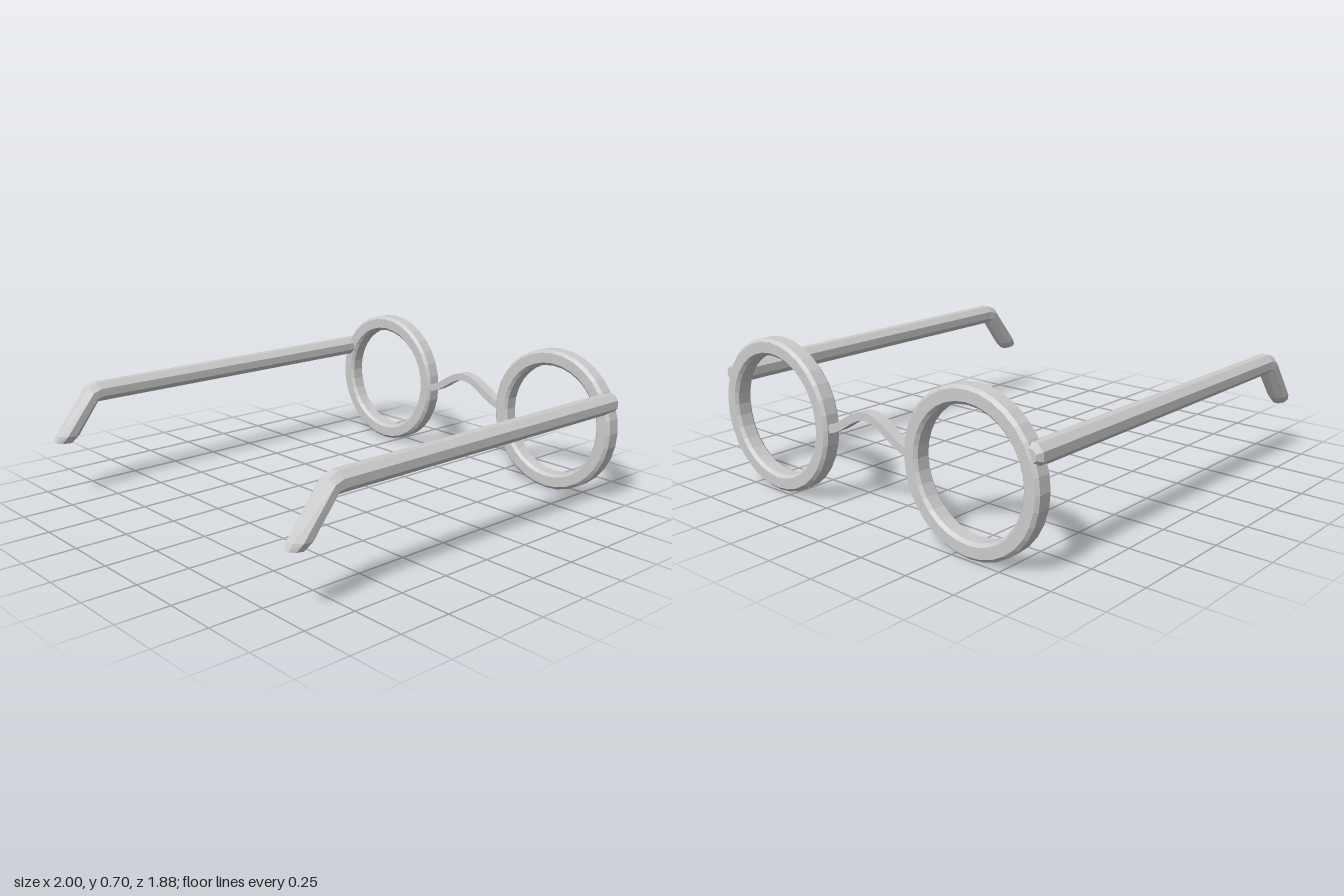
import * as THREE from 'three';

const material = new THREE.MeshStandardMaterial({ color: 0xcccccc, flatShading: true });

function add(group, name, geometry, z = 0) {
  const mesh = new THREE.Mesh(geometry, material);
  mesh.name = name;
  mesh.position.z = z;
  group.add(mesh);
}

// Round rim with bevelled edges, its axis along x
function rimGeometry() {
  const R = 0.352, r = 0.275, h = 0.044, b = 0.014;
  const profile = [
    [r, -h + b], [r + b, -h], [R - b, -h], [R, -h + b],
    [R, h - b], [R - b, h], [r + b, h], [r, h - b], [r, -h + b],
  ].map(([x, y]) => new THREE.Vector2(x, y));
  return new THREE.LatheGeometry(profile, 32).rotateZ(-Math.PI / 2).translate(0.955, 0.352, 0);
}

// Curved flat strip between the rims
function bridgeGeometry() {
  const n = 20, end = 0.26, half = 0.018;
  const upper = [], lower = [];
  for (let i = 0; i <= n; i++) {
    const t = -end + (2 * end * i) / n;
    const y = 0.357 + 0.052 * (1 + Math.cos((Math.PI * t) / end));
    const slope = -0.052 * (Math.PI / end) * Math.sin((Math.PI * t) / end);
    const k = half / Math.hypot(1, slope);
    upper.push(new THREE.Vector2(t - slope * k, y + k));
    lower.push(new THREE.Vector2(t + slope * k, y - k));
  }
  const shape = new THREE.Shape([...lower, ...upper.reverse()]);
  return new THREE.ExtrudeGeometry(shape, { depth: 0.054, bevelEnabled: false })
    .rotateY(Math.PI / 2).translate(0.925, 0, 0);
}

// Octagonal arm lofted through sections: centre x, y; half height vector x, y; half width
function templeGeometry() {
  const sections = [
    [0.992, 0.495, 0, 0.03, 0.03],
    [0.968, 0.495, 0, 0.046, 0.046],
    [-0.745, 0.495, -0.015, 0.046, 0.046],
    [-0.785, 0.485, -0.024, 0.036, 0.048],
    [-0.925, 0.305, -0.054, 0.004, 0.044],
    [-0.952, 0.272, -0.044, 0.006, 0.03],
  ];
  const n = 8, position = [], index = [];
  for (const [x, y, ux, uy, w] of sections) {
    for (let k = 0; k < n; k++) {
      const a = ((k + 0.5) * 2 * Math.PI) / n, s = 1 / Math.cos(Math.PI / n);
      const c = Math.cos(a) * s;
      position.push(x + ux * c, y + uy * c, w * Math.sin(a) * s);
    }
  }
  const last = (sections.length - 1) * n;
  for (let s = 0; s < last; s += n) {
    for (let k = 0; k < n; k++) {
      const a = s + k, b = s + ((k + 1) % n);
      index.push(a, a + n, b, b, a + n, b + n);
    }
  }
  // End caps
  for (let k = 1; k < n - 1; k++) {
    index.push(0, k, k + 1, last, last + k + 1, last + k);
  }
  const geometry = new THREE.BufferGeometry();
  geometry.setAttribute('position', new THREE.Float32BufferAttribute(position, 3));
  geometry.setIndex(index);
  geometry.computeVertexNormals();
  return geometry;
}

export function createModel() {
  const group = new THREE.Group();
  group.name = 'roundGlasses';
  const rim = rimGeometry(), temple = templeGeometry();
  for (const side of [-1, 1]) {
    const label = side > 0 ? 'Front' : 'Back';
    add(group, `rim${label}`, rim, side * 0.585);
    add(group, `temple${label}`, temple, side * 0.892);
  }
  add(group, 'bridge', bridgeGeometry());
  return group;
}
